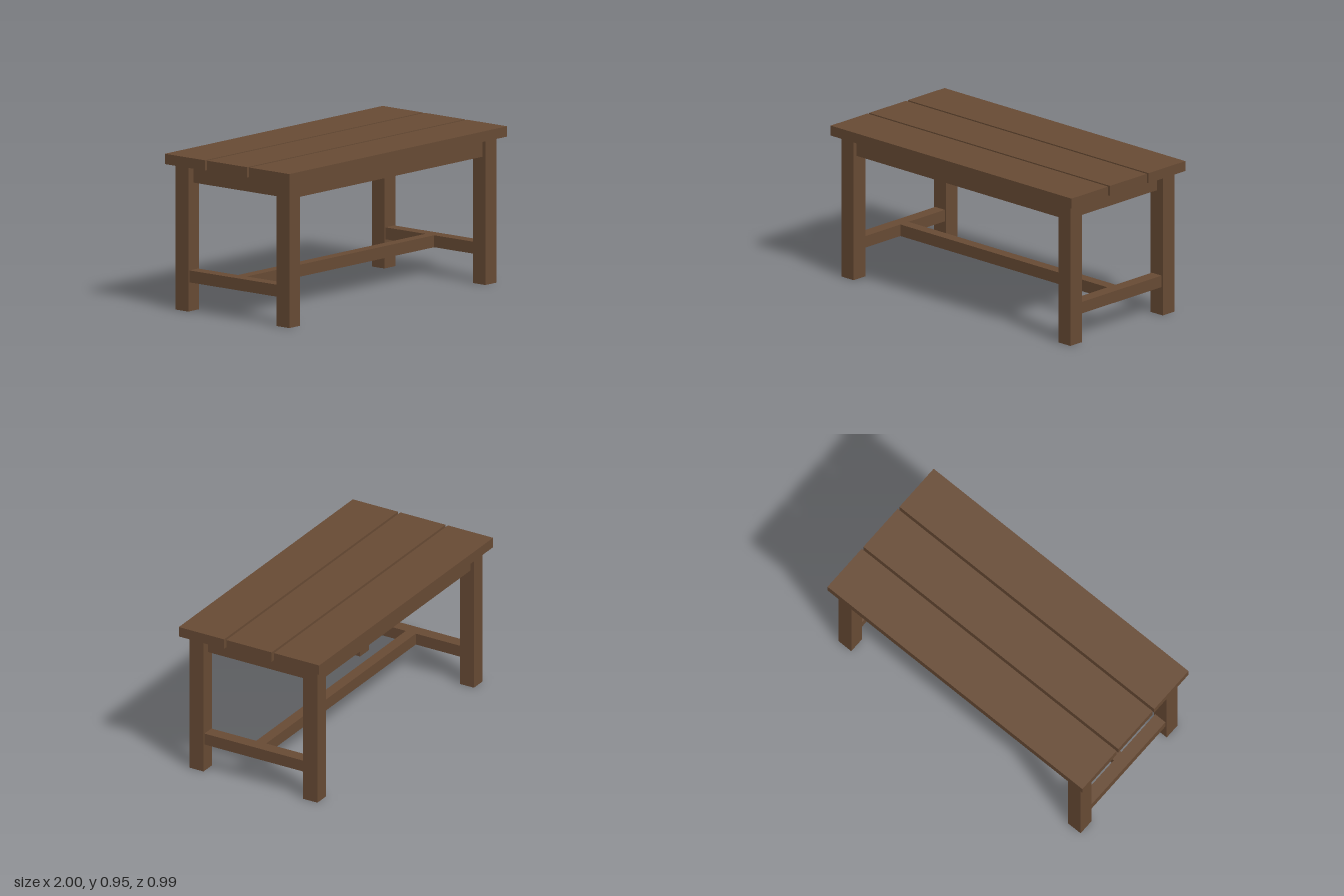
import * as THREE from 'three';

export function createModel() {
  const model = new THREE.Group();
  model.name = 'table';

  const wood = new THREE.MeshStandardMaterial({ color: 0x674a34 });
  wood.name = 'brown wood';

  // Box given by its width, bottom and top heights, depth and centre in x and z
  function board(name, width, bottom, top, depth, x = 0, z = 0) {
    const mesh = new THREE.Mesh(new THREE.BoxGeometry(width, top - bottom, depth), wood);
    mesh.name = name;
    mesh.position.set(x, (bottom + top) / 2, z);
    model.add(mesh);
  }

  // Three top planks with narrow gaps
  for (const i of [-1, 0, 1]) board('topPlank', 2, 0.89, 0.953, 0.318, 0, i * 0.334);

  // Solid apron under the top, set in from the legs
  board('apron', 1.8, 0.78, 0.89, 0.85);

  for (const side of [-1, 1]) {
    // Square legs
    for (const end of [-1, 1]) board('leg', 0.1, 0, 0.89, 0.1, side * 0.9, end * 0.4);
    // Stretcher joining the front and back legs
    board('sideStretcher', 0.08, 0.177, 0.25, 0.7, side * 0.9);
  }

  // Long stretcher between the two side stretchers
  board('longStretcher', 1.72, 0.177, 0.25, 0.07);

  return model;
}
